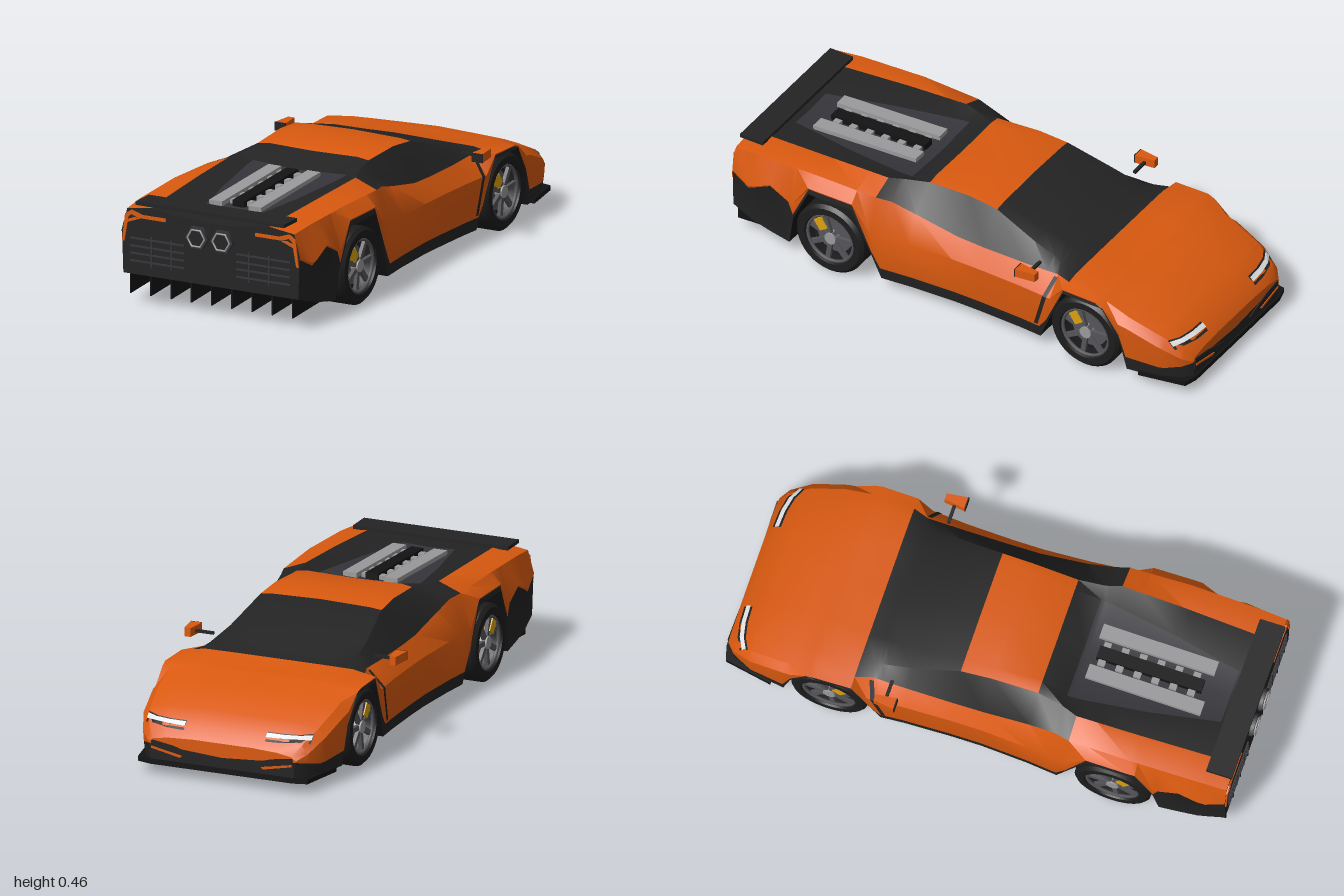
import * as THREE from 'three';
import { toCreasedNormals } from 'three/addons/utils/BufferGeometryUtils.js';

const mat = (name, color, side = THREE.DoubleSide) => {
  const m = new THREE.MeshStandardMaterial({ color, side });
  m.name = name;
  return m;
};

// Sections: z, half width, shoulder x/y, roof edge x/y, inner roof x/y, centre y
const SECTIONS = [
  [-0.99, .30, .28, .14, .22, .15, .12, .155, .155],
  [-0.96, .335, .31, .18, .24, .19, .12, .195, .195],
  [-0.88, .37, .34, .225, .26, .24, .14, .245, .245],
  [-0.75, .39, .36, .275, .28, .29, .15, .295, .30],
  [-0.62, .398, .36, .322, .29, .33, .16, .328, .328],
  [-0.48, .395, .35, .326, .30, .335, .18, .336, .336],
  [-0.42, .39, .33, .325, .28, .345, .18, .355, .36],
  [-0.28, .38, .33, .32, .27, .385, .20, .40, .405],
  [-0.10, .375, .33, .32, .245, .445, .20, .45, .455],
  [0.02, .375, .33, .325, .24, .455, .20, .463, .46],
  [0.20, .385, .335, .36, .235, .445, .19, .452, .448],
  [0.30, .395, .345, .385, .25, .43, .20, .41, .40],
  [0.36, .40, .36, .39, .27, .425, .195, .405, .395],
  [0.60, .402, .365, .395, .265, .415, .16, .39, .385],
  [0.87, .395, .36, .385, .255, .40, .105, .375, .37],
  [0.975, .38, .355, .375, .25, .39, .10, .37, .365],
];
// Lower edge: z, bottom y, top of the dark trim y (rises over the wheels)
const EDGE = [
  [-0.99, .05, .12], [-0.9, .05, .10], [-0.75, .05, .11], [-0.72, .18, .20],
  [-0.65, .30, .312], [-0.48, .30, .312], [-0.40, .12, .14], [-0.37, .05, .10],
  [0.32, .05, .10], [0.36, .15, .17], [0.44, .325, .345], [0.63, .325, .345],
  [0.70, .18, .20], [0.72, .06, .25], [0.80, .075, .29], [0.90, .10, .24], [0.975, .125, .28],
];

function lookup(table, z) {
  let i = 1;
  while (i < table.length - 1 && table[i][0] < z) i++;
  const a = table[i - 1], b = table[i];
  const t = THREE.MathUtils.clamp((z - a[0]) / (b[0] - a[0]), 0, 1);
  return a.map((v, k) => v + (b[k] - v) * t);
}

// Half cross-section from the sill up to the centre line
function section(z) {
  const [, w, xs, ys, x4, y4, x5, y5, yc] = lookup(SECTIONS, z);
  const [, yb, yt] = lookup(EDGE, z);
  const belt = Math.max(Math.min(.25, ys - .03), Math.min(yt + .006, ys - .005));
  const low = w - .012 * Math.min(1, (.3 - Math.min(yb, .3)) / .25);
  return [[low, yb], [w - .003, Math.min(yt, belt - .003)], [w, belt], [xs, ys], [x4, y4], [x5, y5], [0, yc]];
}

// Point on the skin: k = 0 looks up by x (top), k = 1 by y (side)
function onSkin(z, value, k, lift) {
  const p = section(z), from = k ? 0 : 2, to = k ? 4 : 6;
  for (let i = from; i < to; i++) {
    const a = p[i], b = p[i + 1], t = (value - a[k]) / (b[k] - a[k]);
    if (t >= 0 && t <= 1) {
      const o = a[1 - k] + (b[1 - k] - a[1 - k]) * t + lift;
      return k ? [o, value, z] : [value, o, z];
    }
  }
  return k ? [p[2][0] + lift, value, z] : [value, p[2][1] + lift, z];
}

function ribbon(a, b) {
  const pos = [];
  for (let i = 0; i < a.length - 1; i++) pos.push(...a[i], ...b[i], ...b[i + 1], ...a[i], ...b[i + 1], ...a[i + 1]);
  const g = new THREE.BufferGeometry();
  g.setAttribute('position', new THREE.Float32BufferAttribute(pos, 3));
  g.computeVertexNormals();
  return g;
}

// Skin colours: 0 paint, 1 dark, 2 engine grey, 3 underside
function skinColour(row, z) {
  if (row === 0) return 1;
  if (row < 3) return 0;
  const screen = z > -.48 && z < -.1;
  if (row === 3) return z > -.48 && z < .34 ? 1 : 0;
  if (row === 4) return screen || z > .2 ? 1 : 0;
  if (screen || (z > .2 && z < .3) || z > .87) return 1;
  return z > .3 ? 2 : 0;
}

function bodyGeometry() {
  const zs = [...new Set([...SECTIONS, ...EDGE].map(r => r[0]))].sort((a, b) => a - b);
  const rings = zs.map(z => {
    const half = section(z);
    return [...half.map(([x, y]) => [x, y, z]), ...half.slice(0, 6).reverse().map(([x, y]) => [-x, y, z])];
  });
  const lists = [[], [], [], []];
  for (let s = 0; s < zs.length - 1; s++) {
    for (let i = 0; i < 13; i++) {
      const j = (i + 1) % 13, A = rings[s], B = rings[s + 1];
      const c = i === 12 ? 3 : skinColour(i < 6 ? i : 11 - i, (zs[s] + zs[s + 1]) / 2);
      lists[c].push(...A[i], ...A[j], ...B[j], ...A[i], ...B[j], ...B[i]);
    }
  }
  // Nose and tail caps
  const nose = rings[0], tail = rings[rings.length - 1];
  for (let i = 0; i < 13; i++) {
    const j = (i + 1) % 13;
    lists[i === 12 || i === 0 || i === 11 ? 1 : 0].push(...nose[j], ...nose[i], 0, .1, -.99);
    lists[1].push(...tail[i], ...tail[j], 0, .26, .975);
  }
  const g = new THREE.BufferGeometry();
  g.setAttribute('position', new THREE.Float32BufferAttribute(lists.flat(), 3));
  let start = 0;
  lists.forEach((l, i) => { g.addGroup(start, l.length / 3, i); start += l.length / 3; });
  return toCreasedNormals(g, .5);
}

export function createModel() {
  const car = new THREE.Group();
  const paint = mat('orange paint', 0xd9590f), dark = mat('dark trim', 0x232323);
  const black = mat('black underside', 0x131313), grey = mat('engine grey', 0x34343a);
  const rimGrey = mat('rim grey', 0x55555a), silver = mat('silver', 0x9a9a9c);
  const white = mat('headlight white', 0xe6e8ea), yellow = mat('caliper yellow', 0xd9a211);
  const tyreMat = mat('tyre', 0x1c1c1d);

  const add = (name, geo, m, x = 0, y = 0, z = 0, parent = car) => {
    const mesh = new THREE.Mesh(geo, m);
    mesh.name = name;
    mesh.position.set(x, y, z);
    parent.add(mesh);
    return mesh;
  };
  const box = (name, m, w, h, d, x, y, z, parent) => add(name, new THREE.BoxGeometry(w, h, d), m, x, y, z, parent);
  const plate = (pts, depth) => new THREE.ExtrudeGeometry(
    new THREE.Shape(pts.map(p => new THREE.Vector2(...p))), { depth, bevelEnabled: false });

  add('body', bodyGeometry(), [paint, dark, grey, black]);
  box('chassis', black, .5, .22, 1.48, 0, .16, -.02);

  // Front splitter
  const lip = plate([[-.345, .985], [-.29, 1], [.29, 1], [.345, .985], [.38, .8], [-.38, .8]], .018);
  add('frontSplitter', lip, black, 0, .06, 0).rotation.set(-Math.PI / 2, 0, 0);
  car.children.at(-1).position.y = .042;

  // Wheels, built for the left side with the outer face at +x
  const tyreProfile = [[.1, -.065], [.135, -.065], [.148, -.052], [.148, .052], [.135, .065], [.108, .065], [.102, .05]]
    .map(p => new THREE.Vector2(...p));
  const tyreGeo = toCreasedNormals(new THREE.LatheGeometry(tyreProfile, 36), .5);
  for (const side of [1, -1]) for (const [z, x, label] of [[-.57, .325, 'front'], [.54, .335, 'rear']]) {
    const wheel = new THREE.Group();
    wheel.name = label + 'Wheel';
    wheel.position.set(side * x, .148, z);
    add('tyre', tyreGeo, tyreMat, 0, 0, 0, wheel).rotation.z = -side * Math.PI / 2;
    const disc = (name, r, w, m, off) =>
      (add(name, new THREE.CylinderGeometry(r, r, w, 28), m, side * off, 0, 0, wheel).rotation.z = Math.PI / 2);
    disc('wheelBack', .101, .04, tyreMat, -.01);
    disc('brakeDisc', .075, .012, rimGrey, .018);
    disc('hub', .024, .03, silver, .043);
    add('rim', new THREE.TorusGeometry(.1, .007, 6, 32), rimGrey, side * .052, 0, 0, wheel).rotation.y = Math.PI / 2;
    for (let i = 0; i < 7; i++) {
      const a = i / 7 * Math.PI * 2 + .3;
      box('spoke', rimGrey, .014, .085, .019, side * .045, Math.cos(a) * .058, Math.sin(a) * .058, wheel).rotation.x = a;
    }
    box('caliper', yellow, .025, .05, .038, side * .044, .052, .042, wheel).rotation.x = .6;
    car.add(wheel);
  }

  for (const s of [1, -1]) {
    const mirror = pts => pts.map(([x, y, z]) => [s * x, y, z]);
    // Headlights follow the nose surface
    const xs = [.165, .23, .29, .335];
    const lamp = (name, m, lo, hi, lift) => {
      const line = d => mirror(xs.map((x, i) => onSkin([-.958, -.955, -.943, -.92][i] + d, x, 0, lift)));
      add(name, ribbon(line(lo), line(hi)), m);
    };
    lamp('headlightFrame', dark, -.014, .018, .004);
    lamp('headlight', white, -.006, .01, .008);

    // Vent line behind the front wheel
    const ys = [.318, .25, .18, .11];
    const vent = d => mirror(ys.map((y, i) => onSkin(-.425 + i * .02 + d, y, 1, .003)));
    add('fenderVent', ribbon(vent(0), vent(.017)), dark);

    // Nose intakes
    add('noseIntake', plate([[s * .09, .09], [s * .2, .122], [s * .285, .135], [s * .295, .09]], .004), dark, 0, 0, -.995);
    add('noseStripe', plate([[s * .16, .088], [s * .285, .112], [s * .285, .104], [s * .17, .08]], .003), paint, 0, 0, -.998);

    // Door mirror
    box('mirrorArm', dark, .075, .01, .012, s * .365, .35, -.34);
    const shell = plate([[.395, .30], [.44, .30], [.43, .38], [.405, .38]].map(([x, z]) => [s * x, z]), .034);
    add('mirrorShell', shell, paint, 0, .336, 0).rotation.x = -Math.PI / 2;
    box('mirrorGlass', dark, .046, .034, .004, s * .418, .353, -.298);

    // Tail accents
    const accent = [[.19, .358], [.29, .358], [.335, .373], [.362, .355], [.375, .25], [.365, .25], [.348, .345],
      [.335, .356], [.305, .345], [.19, .345]];
    add('tailAccent', plate(accent.map(([x, y]) => [s * x, y]), .005), paint, 0, 0, .975);
    add('tailAccentLower', plate([[.365, .318], [.3, .343], [.325, .345], [.365, .33]].map(([x, y]) => [s * x, y]), .005), paint, 0, 0, .975);

    // Rear grille
    for (const y of [.178, .207, .235, .265]) box('grilleBar', grey, .23, .006, .008, s * .225, y, .977);
    for (const x of [.165, .25]) box('grillePost', grey, .006, .115, .008, s * x, .22, .977);

    // Hexagonal exhaust
    const ex = s * .053;
    add('exhaustHousing', new THREE.CylinderGeometry(.047, .047, .02, 6, 1, false, Math.PI / 2), grey, ex, .306, .98)
      .rotation.x = Math.PI / 2;
    add('exhaustRing', new THREE.TorusGeometry(.036, .004, 6, 6), silver, ex, .306, .994);
    add('exhaustBore', new THREE.CircleGeometry(.034, 6), dark, ex, .306, .992);

    // Engine rails and fittings
    const tilt = .05;
    box('engineRail', silver, .055, .022, .45, s * .083, .396, .565).rotation.x = tilt;
    for (let i = 0; i < 6; i++) box('engineFitting', silver, .022, .02, .028, s * .036, .402 - i * .0035, .38 + i * .07);
  }
  box('engineSpine', black, .05, .028, .41, 0, .397, .56).rotation.x = .05;

  // Rear wing and diffuser fins
  box('rearWing', dark, .63, .014, .1, 0, .402, .932);
  const fin = plate([[.73, .062], [.97, .128], [.97, .048]], .005);
  for (let i = -4; i <= 4; i++) {
    const f = add('diffuserFin', fin, black, i * .086 + .0025, 0, 0);
    f.rotation.y = -Math.PI / 2;
  }
  return car;
}
